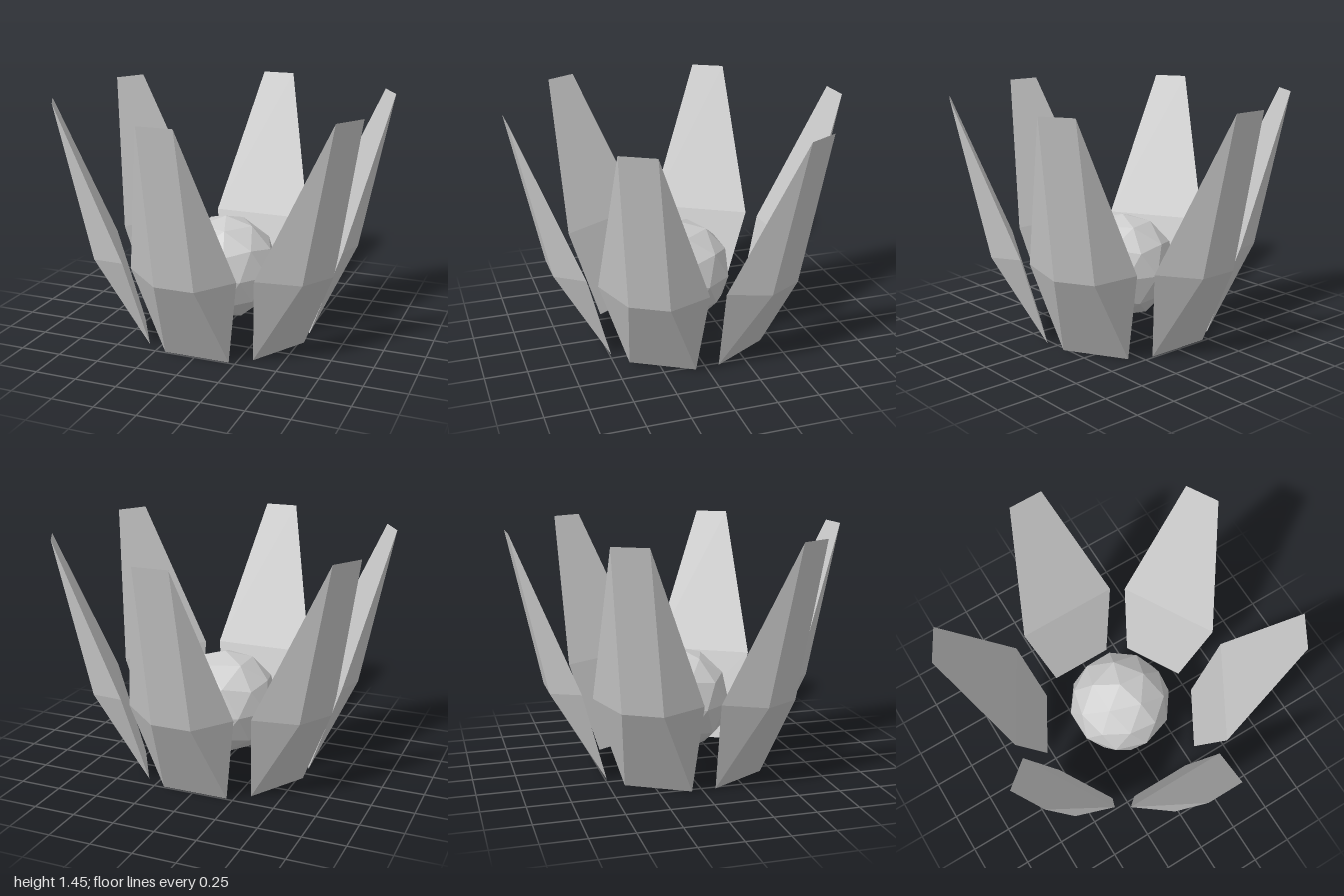
import * as THREE from 'three';

const stone = new THREE.MeshStandardMaterial({ color: 0xcccccc });
stone.name = 'pale grey';
stone.flatShading = true;

// One faceted petal pointing along +z: a folded inner face and a ridged back.
function petalGeometry() {
  const corners = [
    [-0.19, 0, 0.49], [0.21, 0, 0.49],           // 0,1 foot edge
    [-0.32, 0.555, 0.645], [0.315, 0.555, 0.645], // 2,3 wide inner fold
    [-0.09, 1.45, 1], [0.115, 1.45, 1],          // 4,5 tip edge
    [-0.105, 0.525, 0.8], [0.13, 0.525, 0.8],    // 6,7 back ridge
  ];
  const faces = [
    [0, 1, 7, 6], [6, 7, 5, 4],   // back
    [1, 0, 2, 3], [3, 2, 4, 5],   // inside
    [1, 3, 7], [3, 5, 7],         // left flank
    [0, 6, 2], [2, 6, 4],         // right flank
  ];
  const positions = [];
  for (const f of faces) {
    for (let i = 1; i < f.length - 1; i++) {
      for (const k of [f[0], f[i], f[i + 1]]) positions.push(...corners[k]);
    }
  }
  const geometry = new THREE.BufferGeometry();
  geometry.setAttribute('position', new THREE.Float32BufferAttribute(positions, 3));
  geometry.computeVertexNormals();
  return geometry;
}

export function createModel() {
  const model = new THREE.Group();
  model.name = 'crystalFlower';

  // Ring of six petals
  const petals = new THREE.Group();
  petals.name = 'petals';
  const geometry = petalGeometry();
  for (let i = 0; i < 6; i++) {
    const petal = new THREE.Mesh(geometry, stone);
    petal.name = `petal${i + 1}`;
    petal.rotation.y = (i * Math.PI) / 3;
    petals.add(petal);
  }
  model.add(petals);

  // Floating faceted ball, turned so one corner points straight up
  const ball = new THREE.IcosahedronGeometry(0.32, 1);
  ball.rotateZ(-Math.atan(2 / (1 + Math.sqrt(5))));
  const core = new THREE.Mesh(ball, stone);
  core.name = 'core';
  core.position.y = 0.4;
  model.add(core);

  return model;
}
